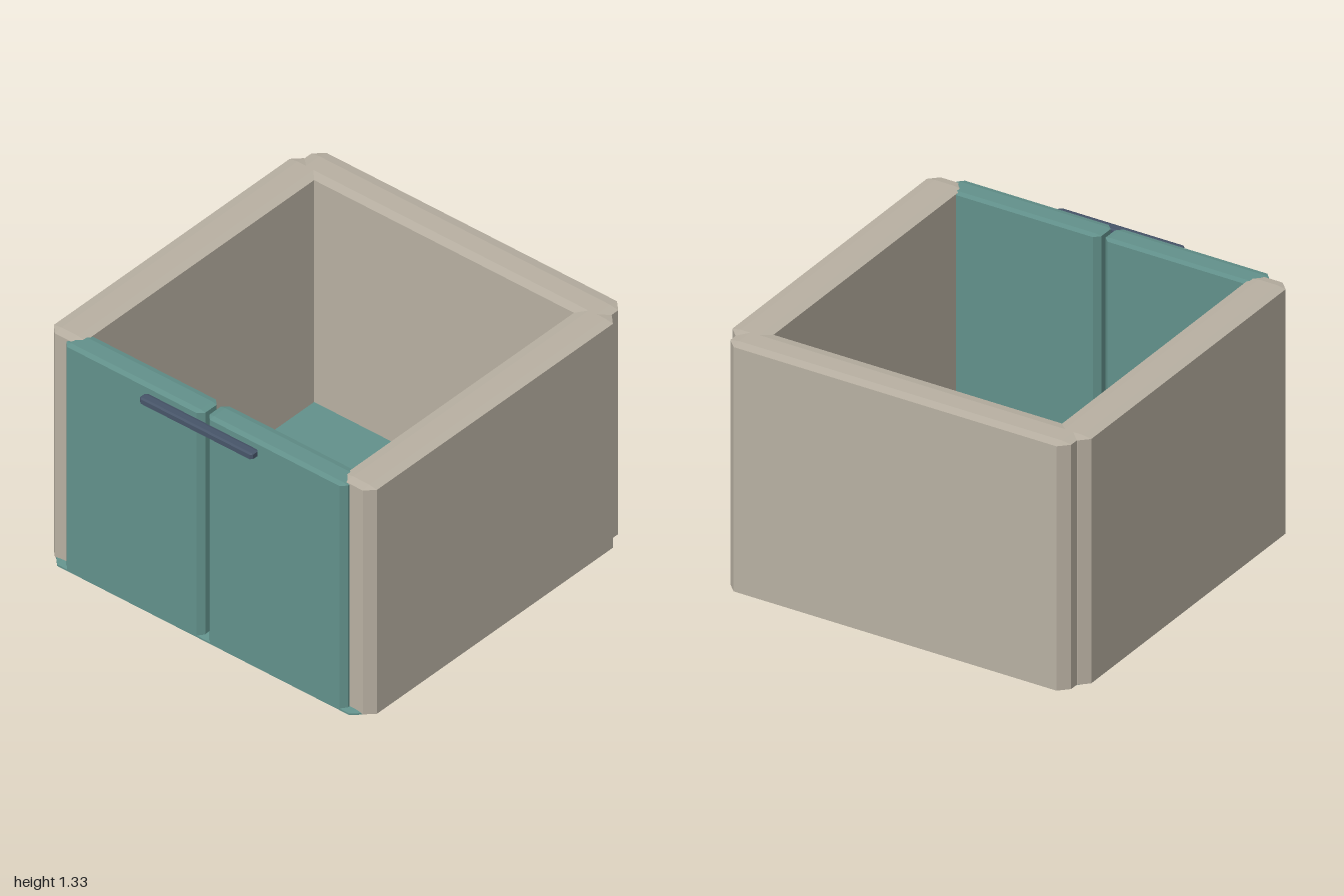
import * as THREE from 'three';
import { ConvexGeometry } from 'three/addons/geometries/ConvexGeometry.js';

// Box given by its limits, with every edge chamfered: c in plan, cy in height
function chamferBox([x0, x1], [y0, y1], [z0, z1], c, cy) {
  const hx = (x1 - x0) / 2, hy = (y1 - y0) / 2, hz = (z1 - z0) / 2;
  const points = [];
  for (const sx of [-1, 1]) for (const sy of [-1, 1]) for (const sz of [-1, 1]) {
    points.push(
      new THREE.Vector3(sx * hx, sy * (hy - cy), sz * (hz - c)),
      new THREE.Vector3(sx * (hx - c), sy * hy, sz * (hz - c)),
      new THREE.Vector3(sx * (hx - c), sy * (hy - cy), sz * hz)
    );
  }
  const geometry = new ConvexGeometry(points);
  geometry.translate((x0 + x1) / 2, (y0 + y1) / 2, (z0 + z1) / 2);
  return geometry;
}

export function createModel() {
  const material = (name, color) => {
    const m = new THREE.MeshStandardMaterial({ color });
    m.name = name;
    return m;
  };
  const stone = material('warm grey', 0xb8b0a2);
  const teal = material('muted teal', 0x62918b);
  const slate = material('slate blue', 0x475569);

  const model = new THREE.Group();
  model.name = 'openCabinet';
  const add = (name, geometry, mat) => {
    const mesh = new THREE.Mesh(geometry, mat);
    mesh.name = name;
    model.add(mesh);
  };

  // Floor panel, reaching forward under the doors
  add('floor', chamferBox([-0.95, 0.95], [0, 0.025], [-0.94, 0.94], 0.05, 0.008), teal);

  // Back wall
  add('backWall', chamferBox([-0.945, 0.945], [0.005, 1.332], [-1, -0.8], 0.05, 0.008), stone);

  // Side walls and doors, mirrored
  for (const [side, s] of [['left', 1], ['right', -1]]) {
    const span = (a, b) => (s > 0 ? [a, b] : [-b, -a]);
    add(side + 'Wall', chamferBox(span(0.8, 0.995), [0.005, 1.332], [-0.9, 0.9], 0.047, 0.008), stone);
    add(side + 'Door', chamferBox(span(0.012, 0.867), [0.01, 1.326], [0.8, 0.94], 0.029, 0.006), teal);
  }

  // Handle bar across both doors
  add('handle', chamferBox([-0.348, 0.348], [1.264, 1.296], [0.945, 1], 0.012, 0.003), slate);

  return model;
}
